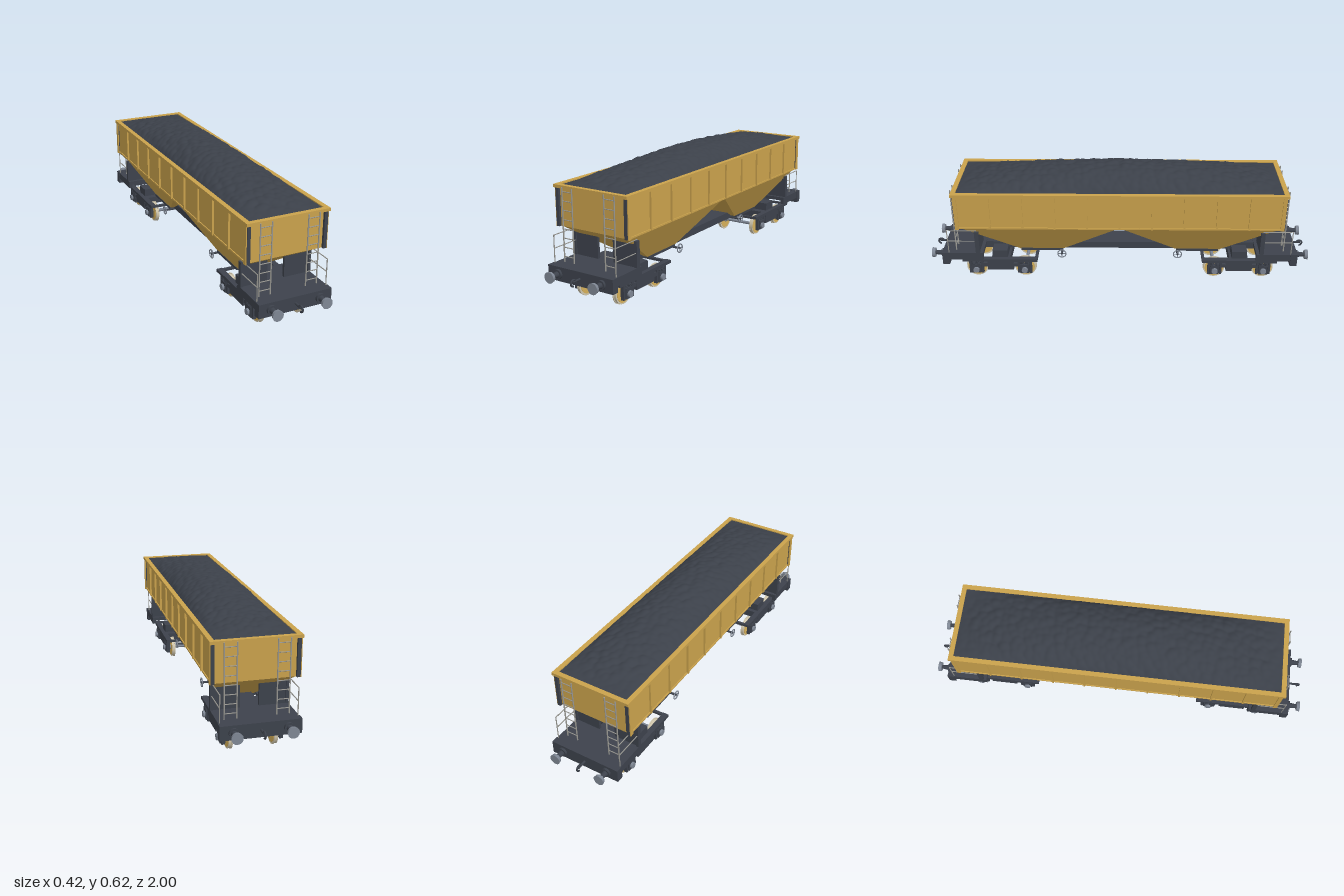
import * as THREE from 'three';

const paint = (name, color, side = THREE.FrontSide) => {
  const m = new THREE.MeshStandardMaterial({ color, side });
  m.name = name;
  return m;
};

export function createModel() {
  const gold = paint('ochre body', 0xcaa24c);
  const dark = paint('dark frame', 0x3d424c);
  const coalMat = paint('coal', 0x3b4049, THREE.DoubleSide);
  const steel = paint('steel', 0x7f8794);
  const rail = paint('pale rail', 0x9b9a94);
  const cream = paint('wheel tread', 0xd2c8ae);
  const wheelGold = paint('wheel face', 0xd6b05a);

  const root = new THREE.Group();
  root.name = 'hopperWagon';

  const add = (parent, name, geo, mat, x = 0, y = 0, z = 0) => {
    const m = new THREE.Mesh(geo, mat);
    m.name = name;
    m.position.set(x, y, z);
    parent.add(m);
    return m;
  };
  // Box given by its limits on each axis
  const box = (p, name, mat, x0, x1, y0, y1, z0, z1) =>
    add(p, name, new THREE.BoxGeometry(Math.abs(x1 - x0), y1 - y0, Math.abs(z1 - z0)), mat,
      (x0 + x1) / 2, (y0 + y1) / 2, (z0 + z1) / 2);
  // Round bar between two points
  const bar = (p, name, mat, a, b, r, sides = 8, r2 = r) => {
    const A = new THREE.Vector3(...a), B = new THREE.Vector3(...b);
    const m = add(p, name, new THREE.CylinderGeometry(r2, r, A.distanceTo(B), sides), mat);
    m.position.copy(A).add(B).multiplyScalar(0.5);
    m.quaternion.setFromUnitVectors(new THREE.Vector3(0, 1, 0), B.sub(A).normalize());
    return m;
  };

  // Upper body with rim, ribs and corner posts
  const body = new THREE.Group();
  body.name = 'body';
  root.add(body);
  box(body, 'bodyShell', gold, -0.198, 0.198, 0.345, 0.535, -0.835, 0.835);
  for (const s of [-1, 1]) {
    box(body, 'sideRim', gold, s * 0.188, s * 0.212, 0.53, 0.545, -0.855, 0.855);
    box(body, 'endRim', gold, -0.188, 0.188, 0.53, 0.545, s * 0.831, s * 0.855);
    box(body, 'bottomLip', gold, s * 0.196, s * 0.203, 0.343, 0.351, -0.83, 0.83);
    for (let i = -4; i <= 4; i++)
      box(body, 'sideRib', gold, s * 0.197, s * 0.208, 0.345, 0.53, i / 6 - 0.005, i / 6 + 0.005);
    for (const e of [-1, 1]) {
      box(body, 'cornerPost', dark, s * 0.188, s * 0.205, 0.345, 0.53, e * 0.83, e * 0.848);
      box(body, 'cornerEdge', gold, s * 0.204, s * 0.21, 0.343, 0.53, e * 0.825, e * 0.845);
    }
  }

  // Heaped coal: a domed sheet covered in seeded round lumps
  const hash = (i, j, k) => {
    const v = Math.sin(i * 127.1 + j * 311.7 + k * 74.7) * 43758.5453;
    return v - Math.floor(v);
  };
  const cell = 0.034;
  const lump = (x, z) => {
    const ci = Math.floor(x / cell), cj = Math.floor(z / cell);
    let h = 0;
    for (let i = ci - 1; i <= ci + 1; i++) for (let j = cj - 1; j <= cj + 1; j++) {
      const d = Math.hypot(x / cell - i - hash(i, j, 1), z / cell - j - hash(i, j, 2));
      h = Math.max(h, (1 - d * d) * (0.5 + 0.5 * hash(i, j, 3)));
    }
    return h;
  };
  const coal = new THREE.PlaneGeometry(0.384, 1.67, 56, 220).rotateX(-Math.PI / 2);
  const cp = coal.attributes.position;
  for (let i = 0; i < cp.count; i++) {
    const x = cp.getX(i), z = cp.getZ(i);
    const dome = (1 - Math.pow(Math.abs(x) / 0.192, 2.3)) * (1 - Math.pow(Math.abs(z) / 0.835, 2));
    cp.setY(i, 0.538 + 0.072 * dome + 0.013 * lump(x, z) * Math.min(1, dome * 4 + 0.15));
  }
  coal.computeVertexNormals();
  add(root, 'coalLoad', coal, coalMat);

  // Tapered hopper: a box with its corners moved to a wide top and a narrow outlet
  const hopperGeometry = () => {
    const g = new THREE.BoxGeometry(2, 2, 2);
    const p = g.attributes.position;
    for (let i = 0; i < p.count; i++) {
      const top = p.getY(i) > 0, front = p.getZ(i) > 0;
      const z = top ? (front ? 0.833 : 0) : (front ? 0.54 : 0.3);
      p.setXYZ(i, p.getX(i) * (top ? 0.192 : 0.085), top ? 0.346 : 0.157, z);
    }
    g.computeVertexNormals();
    return g;
  };

  // Centre sill under both hoppers
  box(root, 'centreSill', dark, -0.06, 0.06, 0.145, 0.182, -0.9, 0.9);

  // Wheelset with axle and end bearings
  const wheelset = (p, z) => {
    const g = new THREE.Group();
    g.name = 'wheelset';
    g.position.set(0, 0.06, z);
    p.add(g);
    bar(g, 'axle', steel, [-0.13, 0, 0], [0.13, 0, 0], 0.009, 12);
    for (const s of [-1, 1]) {
      bar(g, 'wheelTread', cream, [s * 0.102, 0, 0], [s * 0.116, 0, 0], 0.057, 32);
      bar(g, 'wheelFlange', cream, [s * 0.098, 0, 0], [s * 0.103, 0, 0], 0.06, 32);
      bar(g, 'wheelFace', wheelGold, [s * 0.0965, 0, 0], [s * 0.1175, 0, 0], 0.05, 32);
      bar(g, 'wheelHub', steel, [s * 0.092, 0, 0], [s * 0.122, 0, 0], 0.016, 16);
      box(g, 'axleBox', dark, s * 0.126, s * 0.15, -0.022, 0.03, -0.024, 0.024);
      bar(g, 'bearingCap', steel, [s * 0.148, 0, 0], [s * 0.161, 0, 0], 0.016, 16);
      for (const e of [-1, 1]) {
        box(g, 'axleGuide', dark, s * 0.128, s * 0.146, -0.024, 0.055, e * 0.026, e * 0.038);
        for (let k = 0; k < 4; k++) {
          const coil = add(g, 'springCoil', new THREE.TorusGeometry(0.009, 0.0035, 6, 12), dark,
            s * 0.138, 0.032 + k * 0.006, e * 0.013);
          coil.rotation.x = Math.PI / 2;
        }
      }
    }
  };

  // One end of the wagon; the other is the same turned around
  const makeEnd = () => {
    const end = new THREE.Group();
    end.name = 'wagonEnd';
    add(end, 'hopper', hopperGeometry(), gold);
    box(end, 'outletDoor', dark, -0.088, 0.088, 0.146, 0.158, 0.31, 0.53);

    // Platform and headstock
    box(end, 'platform', dark, -0.185, 0.185, 0.165, 0.185, 0.72, 0.91);
    box(end, 'headstock', dark, -0.188, 0.188, 0.117, 0.186, 0.9, 0.936);
    box(end, 'bolster', dark, -0.13, 0.13, 0.125, 0.168, 0.6, 0.68);

    for (const s of [-1, 1]) {
      box(end, 'platformBeam', dark, s * 0.165, s * 0.185, 0.145, 0.185, 0.72, 0.9);
      box(end, 'hopperSupport', dark, s * 0.045, s * 0.183, 0.18, 0.297, 0.738, 0.752);
      box(end, 'supportPost', dark, s * 0.172, s * 0.186, 0.18, 0.312, 0.735, 0.757);

      // Round bumper
      const bx = s * 0.126;
      bar(end, 'bumperBase', dark, [bx, 0.152, 0.935], [bx, 0.152, 0.947], 0.023, 16);
      bar(end, 'bumperShank', dark, [bx, 0.152, 0.945], [bx, 0.152, 0.985], 0.015, 16, 0.01);
      bar(end, 'bumperHead', steel, [bx, 0.152, 0.984], [bx, 0.152, 1], 0.024, 24, 0.027);

      // Ladder
      for (const x of [0.092, 0.15])
        bar(end, 'ladderRail', rail, [s * x, 0.185, 0.865], [s * x, 0.54, 0.865], 0.0033);
      for (let i = 0; i < 8; i++) {
        const y = 0.212 + i * 0.044;
        bar(end, 'ladderRung', rail, [s * 0.092, y, 0.865], [s * 0.15, y, 0.865], 0.0024, 6);
      }

      // Platform handrail
      const hx = s * 0.179;
      bar(end, 'handrailPost', rail, [hx, 0.183, 0.9], [hx, 0.32, 0.9], 0.0026, 6);
      for (const y of [0.255, 0.318])
        bar(end, 'handrail', rail, [hx, y, 0.9], [hx, y, 0.745], 0.0026, 6);

      // Hand wheel for the outlet door
      const wheel = add(end, 'handWheel', new THREE.TorusGeometry(0.022, 0.003, 8, 24), steel, s * 0.118, 0.143, 0.31);
      wheel.rotation.y = Math.PI / 2;
      bar(end, 'wheelSpoke', steel, [s * 0.118, 0.122, 0.31], [s * 0.118, 0.164, 0.31], 0.002, 6);
      bar(end, 'wheelSpoke', steel, [s * 0.118, 0.143, 0.289], [s * 0.118, 0.143, 0.331], 0.002, 6);
    }
    bar(end, 'handWheelShaft', dark, [-0.12, 0.143, 0.31], [0.12, 0.143, 0.31], 0.006);

    // Coupling hook
    bar(end, 'hookShank', dark, [0, 0.152, 0.93], [0, 0.152, 0.985], 0.006);
    const hook = add(end, 'couplingHook', new THREE.TorusGeometry(0.015, 0.005, 8, 16, Math.PI * 1.5), dark, 0, 0.147, 0.98);
    hook.rotation.y = Math.PI / 2;

    // Bogie
    const bogie = new THREE.Group();
    bogie.name = 'bogie';
    bogie.position.z = 0.64;
    end.add(bogie);
    for (const s of [-1, 1]) {
      box(bogie, 'sideFrame', dark, s * 0.122, s * 0.152, 0.11, 0.125, -0.2, 0.2);
      box(bogie, 'sideFrameCentre', dark, s * 0.124, s * 0.146, 0.056, 0.112, -0.07, 0.07);
      box(bogie, 'sideFrameLink', dark, s * 0.128, s * 0.144, 0.075, 0.095, -0.1, 0.1);
      box(bogie, 'endBeam', dark, -0.125, 0.125, 0.11, 0.122, s * 0.185, s * 0.2);
      wheelset(bogie, s * 0.13);
    }
    box(bogie, 'crossBeam', dark, -0.126, 0.126, 0.075, 0.115, -0.05, 0.05);
    bar(bogie, 'pivot', dark, [0, 0.11, 0], [0, 0.15, 0], 0.03, 16);
    return end;
  };

  for (const turn of [0, Math.PI]) {
    const end = makeEnd();
    end.rotation.y = turn;
    root.add(end);
  }
  return root;
}
